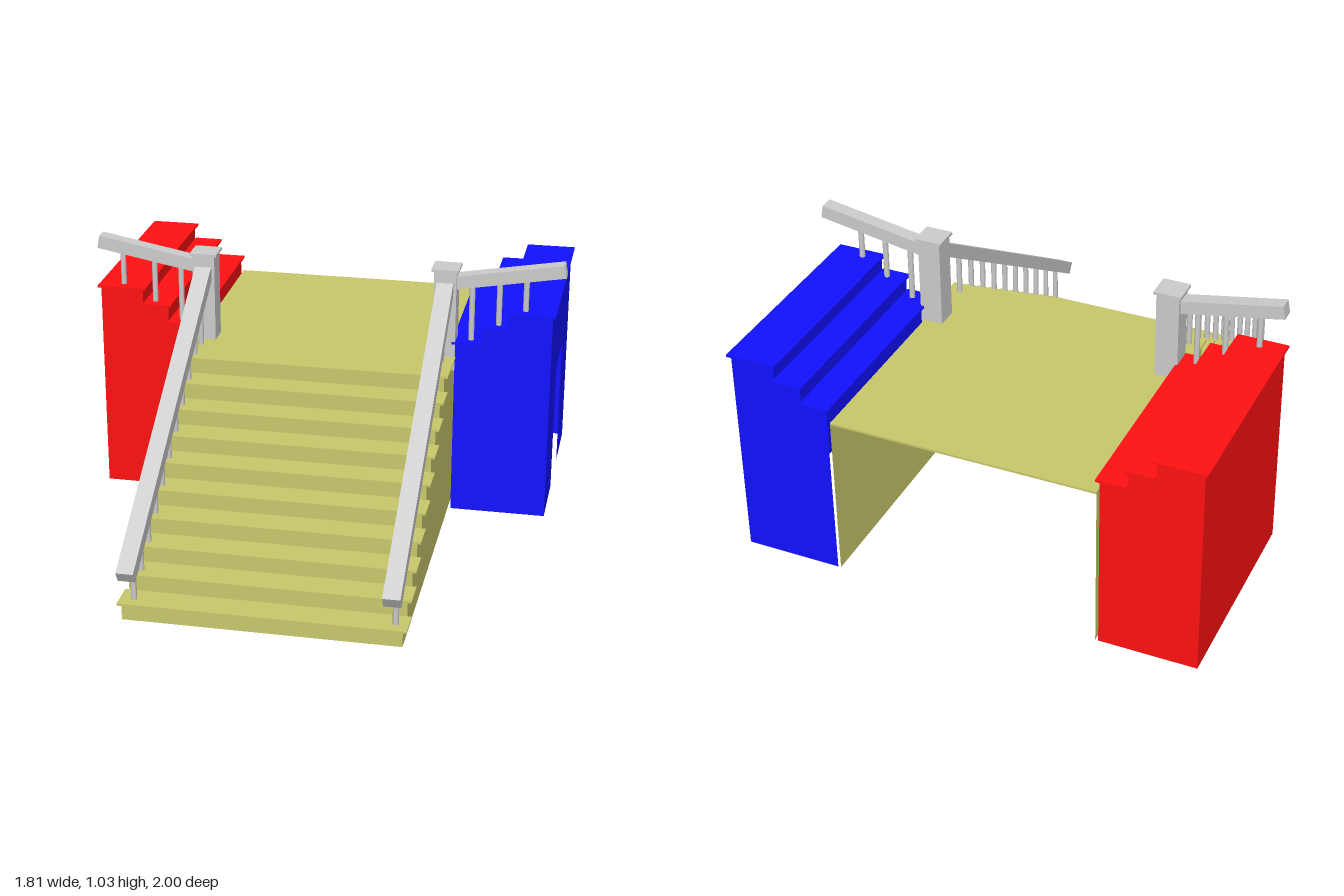
import * as THREE from 'three';

const mat = (color) => new THREE.MeshStandardMaterial({ color, side: THREE.DoubleSide });

export function createModel() {
  const model = new THREE.Group();
  const olive = mat(0xc8c86c), red = mat(0xff1111), blue = mat(0x1111ff), grey = mat(0xcccccc);
  const CX = -0.016; // centre line of the stair

  const add = (parent, name, geo, material) => {
    const mesh = new THREE.Mesh(geo, material);
    mesh.name = name;
    parent.add(mesh);
    return mesh;
  };
  const group = (name) => {
    const g = new THREE.Group();
    g.name = name;
    model.add(g);
    return g;
  };
  // box given by its limits on each axis
  const block = (parent, name, m, x0, x1, y0, y1, z0, z1) => {
    const geo = new THREE.BoxGeometry(Math.abs(x1 - x0), y1 - y0, z1 - z0);
    geo.translate((x0 + x1) / 2, (y0 + y1) / 2, (z0 + z1) / 2);
    return add(parent, name, geo, m);
  };
  const flat = (pts) => new THREE.ShapeGeometry(new THREE.Shape(pts.map(([a, b]) => new THREE.Vector2(a, b))));
  // thin upright sheet drawn in (z, y) at a given x
  const sideSheet = (pts, x) => flat(pts).rotateY(-Math.PI / 2).translate(x, 0, 0);
  // square bar between two points
  const bar = (parent, name, a, b, w, h) => {
    const mesh = add(parent, name, new THREE.BoxGeometry(w, h, a.distanceTo(b)), grey);
    mesh.position.copy(a).lerp(b, 0.5);
    mesh.lookAt(b);
  };
  const baluster = (parent, x, y0, y1, z) =>
    add(parent, 'baluster', new THREE.CylinderGeometry(0.011, 0.011, y1 - y0, 8), grey)
      .position.set(x, (y0 + y1) / 2, z);

  // Staircase: hollow shell, open at the back and underneath
  const STEPS = 10, RISE = 0.064, RUN = 0.1007, FRONT = 0.928, BACK = -0.985, TOP = STEPS * RISE;
  const stair = group('staircase');
  const profile = [[BACK, 0], [FRONT, 0]];
  for (let i = 0; i < STEPS; i++) {
    const z = FRONT - i * RUN, y = (i + 1) * RISE;
    const zBack = i < STEPS - 1 ? z - RUN : -0.175;
    profile.push([z, y - 0.004], [i < STEPS - 1 ? zBack : BACK, y - 0.004]);
    add(stair, 'riser', new THREE.PlaneGeometry(1.0, RISE).translate(CX, y - RISE / 2 - 0.002, z), olive);
    block(stair, 'tread', olive, CX - 0.515, CX + 0.515, y - 0.008, y, zBack, z + 0.01);
  }
  for (const s of [-1, 1]) add(stair, 'stairSideWall', sideSheet(profile, CX + s * 0.5), olive);
  block(stair, 'landing', olive, CX - 0.5, CX + 0.5, TOP - 0.008, TOP, BACK, -0.175);

  // Stepped flank walls beside the landing: hollow, the left one with a doorway
  const IN = 0.511, OUT = 0.877, ZF = -0.18, ZB = -0.985;
  const tiers = [[0.511, 0.61, 0.7], [0.61, 0.71, 0.767], [0.71, OUT, 0.83]]; // inner, outer, top
  for (const s of [-1, 1]) {
    const m = s > 0 ? blue : red;
    const wall = group(s > 0 ? 'leftFlankWall' : 'rightFlankWall');
    const X = (v) => CX + s * v;
    const end = [[X(OUT), 0], [X(IN), 0]];
    tiers.forEach(([a, b, y], i) => {
      end.push([X(a), y - 0.004], [X(b), y - 0.004]);
      const low = i ? tiers[i - 1][2] : 0.62;
      add(wall, 'tierRiser', sideSheet([[ZB, low], [ZF, low], [ZF, y - 0.004], [ZB, y - 0.004]], X(a)), m);
      block(wall, 'tierTop', m, X(a - 0.012), X(b + (i === 2 ? 0.012 : 0)), y - 0.008, y, -0.998, -0.17);
    });
    for (const z of [ZF, ZB]) add(wall, 'endWall', flat(end).translate(0, 0, z), m);
    const door = s > 0 ? [[-0.46, 0], [-0.46, 0.51], [-0.715, 0.51], [-0.715, 0]] : [];
    add(wall, 'outerWall', sideSheet([[ZF, 0], ...door, [ZB, 0], [ZB, 0.826], [ZF, 0.826]], X(OUT)), m);
  }

  // Railings: sloping stair rail, newel post and rising side rail
  const PZ = -0.215;
  for (const s of [-1, 1]) {
    const rail = group(s > 0 ? 'leftRailing' : 'rightRailing');
    const x = s > 0 ? 0.453 : -0.48;
    block(rail, 'newelPost', grey, x - 0.043, x + 0.043, 0.585, 0.98, PZ - 0.042, PZ + 0.042);
    block(rail, 'newelCap', grey, x - 0.052, x + 0.052, 0.978, 0.988, PZ - 0.05, PZ + 0.05);

    bar(rail, 'stairRail', new THREE.Vector3(x, 0.195, 0.985), new THREE.Vector3(x, 0.915, -0.18), 0.063, 0.05);
    for (let i = 0; i <= STEPS; i++) {
      const z = 0.89 - i * RUN;
      baluster(rail, x, Math.min(i + 1, STEPS) * RISE - 0.018, 0.195 + (0.985 - z) * 0.618, z);
    }

    const xEnd = s * 0.9;
    bar(rail, 'sideRail', new THREE.Vector3(x, 0.925, PZ), new THREE.Vector3(xEnd, 1.003, PZ), 0.055, 0.05);
    const feet = s > 0 ? [0.552, 0.655, 0.755] : [-0.58, -0.685, -0.81];
    feet.forEach((fx, i) =>
      baluster(rail, fx, tiers[i][2] - 0.015, 0.925 + 0.078 * (fx - x) / (xEnd - x), PZ));
  }
  return model;
}
